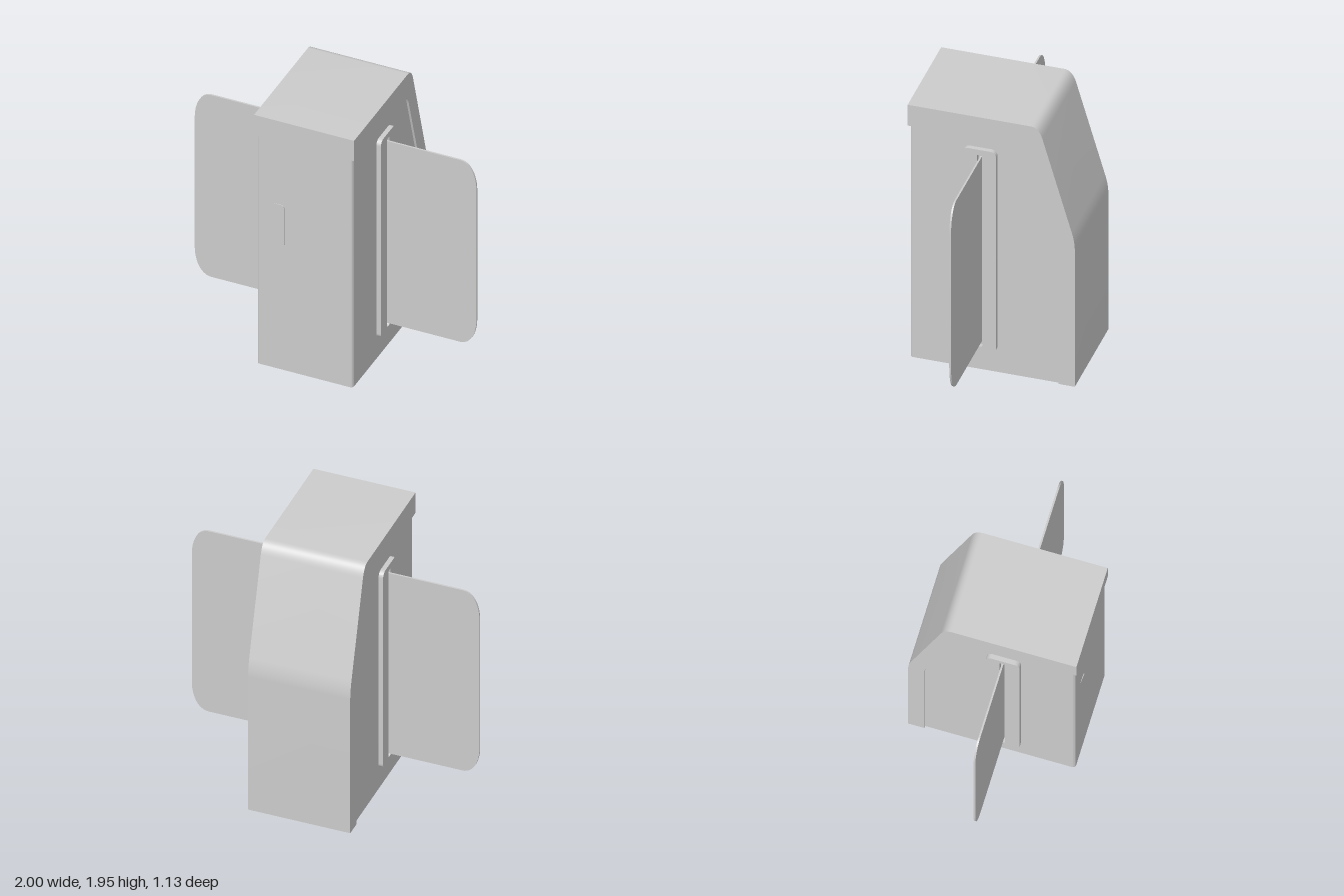
import * as THREE from 'three';
import { toCreasedNormals } from 'three/addons/utils/BufferGeometryUtils.js';

const material = new THREE.MeshStandardMaterial({ color: 0xcccccc });

function addMesh(group, name, geometry) {
  const mesh = new THREE.Mesh(toCreasedNormals(geometry, 0.5), material);
  mesh.name = name;
  group.add(mesh);
}

// Extrudes a side profile (-z, y) between x0 and x1.
function extrudeX(shape, x0, x1) {
  const g = new THREE.ExtrudeGeometry(shape, { depth: x1 - x0, bevelEnabled: false, curveSegments: 10 });
  return g.translate(0, 0, x0).rotateY(Math.PI / 2);
}

function roundedRect(x0, y0, x1, y1, r, Type = THREE.Shape) {
  const s = new Type();
  s.absarc(x1 - r, y0 + r, r, -Math.PI / 2, 0);
  s.absarc(x1 - r, y1 - r, r, 0, Math.PI / 2);
  s.absarc(x0 + r, y1 - r, r, Math.PI / 2, Math.PI);
  s.absarc(x0 + r, y0 + r, r, Math.PI, Math.PI * 1.5);
  s.closePath();
  return s;
}

export function createModel() {
  const model = new THREE.Group();
  model.name = 'cabinet';

  // Main body, following the inside of the cover
  const body = new THREE.Shape();
  body.moveTo(-0.53, 0);
  body.lineTo(0.455, 0);
  body.lineTo(0.455, 1.05);
  body.quadraticCurveTo(0.455, 1.12, 0.435, 1.19);
  body.lineTo(0.28, 1.71);
  body.quadraticCurveTo(0.255, 1.79, 0.2, 1.79);
  body.lineTo(-0.53, 1.79);
  body.closePath();
  addMesh(model, 'body', extrudeX(body, -0.34, 0.34));

  // Front panel with rounded upright edges
  const r = 0.02;
  const panel = new THREE.Shape();
  panel.moveTo(-0.34, 0.53);
  panel.lineTo(0.34, 0.53);
  panel.absarc(0.34 - r, 0.555 - r, r, 0, Math.PI / 2);
  panel.absarc(-0.34 + r, 0.555 - r, r, Math.PI / 2, Math.PI);
  panel.closePath();
  const panelGeometry = new THREE.ExtrudeGeometry(panel, { depth: 1.79, bevelEnabled: false, curveSegments: 6 });
  // Shape y becomes z, extrusion runs downward from the top
  addMesh(model, 'frontPanel', panelGeometry.rotateX(Math.PI / 2).translate(0, 1.79, 0));

  // Cover: lid, sloping shoulder and back in one bent band
  const cover = new THREE.Shape();
  cover.moveTo(0.455, 0);
  cover.lineTo(0.565, 0);
  cover.lineTo(0.565, 1.05);
  cover.quadraticCurveTo(0.565, 1.12, 0.54, 1.2);
  cover.lineTo(0.345, 1.87);
  cover.quadraticCurveTo(0.32, 1.95, 0.265, 1.95);
  cover.lineTo(-0.567, 1.95);
  cover.lineTo(-0.567, 1.79);
  cover.lineTo(0.2, 1.79);
  cover.quadraticCurveTo(0.255, 1.79, 0.28, 1.71);
  cover.lineTo(0.435, 1.19);
  cover.quadraticCurveTo(0.455, 1.12, 0.455, 1.05);
  cover.closePath();
  addMesh(model, 'cover', extrudeX(cover, -0.355, 0.355));

  // Slotted side frames and the thin wings passing through them
  const frame = roundedRect(-0.19, 0.16, 0.037, 1.71, 0.04);
  frame.holes.push(roundedRect(-0.092, 0.195, -0.056, 1.67, 0.008, THREE.Path));
  const wing = new THREE.Shape();
  wing.moveTo(0.33, 0.22);
  wing.lineTo(0.88, 0.22);
  wing.bezierCurveTo(0.96, 0.22, 1, 0.32, 1, 0.43);
  wing.lineTo(1, 1.435);
  wing.bezierCurveTo(1, 1.545, 0.96, 1.645, 0.88, 1.645);
  wing.lineTo(0.33, 1.645);
  wing.closePath();
  for (const [side, label] of [[1, 'left'], [-1, 'right']]) {
    const x0 = side > 0 ? 0.33 : -0.372;
    addMesh(model, label + 'SlotFrame', extrudeX(frame, x0, x0 + 0.042));
    const g = new THREE.ExtrudeGeometry(wing, { depth: 0.012, bevelEnabled: false, curveSegments: 12 });
    g.translate(0, 0, -0.006);
    if (side < 0) g.rotateY(Math.PI);
    addMesh(model, label + 'Wing', g.translate(0, 0, 0.073));
  }

  // Shallow finger tab on the front, tapering flush on one side
  const tab = new THREE.ExtrudeGeometry(roundedRect(-0.23, 0.97, -0.145, 1.29, 0.02), { depth: 0.01, bevelEnabled: false });
  const p = tab.attributes.position;
  for (let i = 0; i < p.count; i++) {
    const rise = 0.007 * (p.getX(i) + 0.23) / 0.085;
    p.setZ(i, p.getZ(i) > 0.005 ? 0.555 + rise : 0.55);
  }
  addMesh(model, 'fingerTab', tab);

  return model;
}
